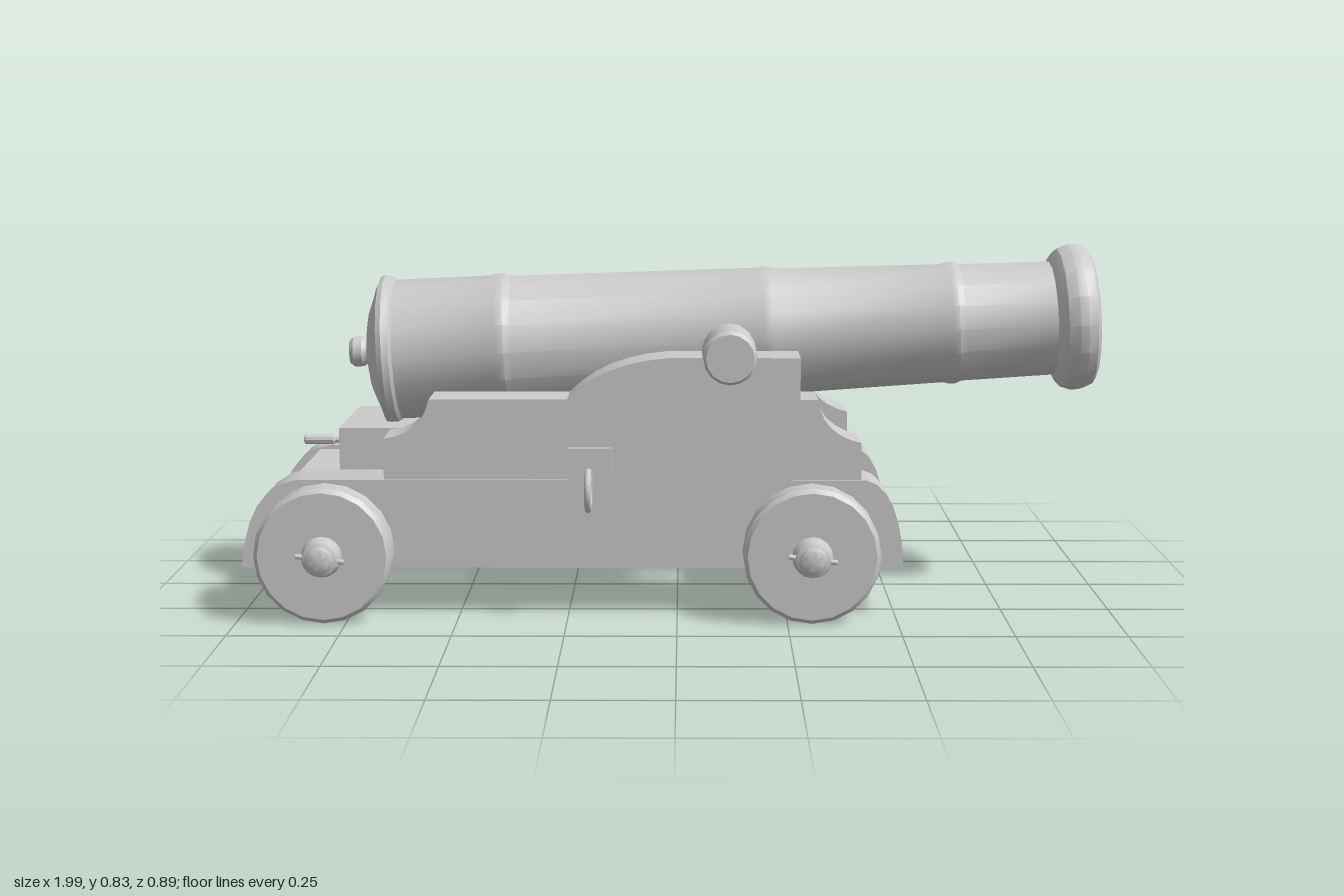
import * as THREE from 'three';
import { toCreasedNormals } from 'three/addons/utils/BufferGeometryUtils.js';

const material = new THREE.MeshStandardMaterial({ color: 0xcccccc });

function add(parent, name, geometry, x = 0, y = 0, z = 0) {
  const mesh = new THREE.Mesh(geometry, material);
  mesh.name = name;
  mesh.position.set(x, y, z);
  parent.add(mesh);
  return mesh;
}

// Turned part from [radius, height] pairs, with sharp profile edges
function turned(profile, sides) {
  const points = profile.map(([r, h]) => new THREE.Vector2(r, h));
  return toCreasedNormals(new THREE.LatheGeometry(points, sides), 0.5);
}

// Flat board cut from an outline in the x-y plane
function board(shape, depth) {
  return toCreasedNormals(
    new THREE.ExtrudeGeometry(shape, { depth, bevelEnabled: false, curveSegments: 6 }), 0.5);
}

function box(parent, name, x0, x1, y0, y1, width) {
  add(parent, name, new THREE.BoxGeometry(x1 - x0, y1 - y0, width), (x0 + x1) / 2, (y0 + y1) / 2, 0);
}

function lowerCheekShape() {
  const s = new THREE.Shape();
  s.moveTo(-1, 0.11);
  s.lineTo(0.52, 0.11);
  s.quadraticCurveTo(0.51, 0.3, 0.43, 0.315);
  s.lineTo(-0.87, 0.315);
  s.bezierCurveTo(-0.95, 0.305, -0.99, 0.23, -1, 0.11);
  return s;
}

function upperCheekShape() {
  const s = new THREE.Shape();
  s.moveTo(-0.67, 0.315);
  s.lineTo(0.42, 0.315);
  s.lineTo(0.42, 0.4);
  s.quadraticCurveTo(0.33, 0.42, 0.32, 0.5);
  s.lineTo(0.28, 0.5);
  s.lineTo(0.28, 0.595);
  s.lineTo(-0.02, 0.595);
  s.quadraticCurveTo(-0.17, 0.585, -0.25, 0.5);
  s.lineTo(-0.565, 0.5);
  s.quadraticCurveTo(-0.58, 0.42, -0.67, 0.41);
  s.closePath();
  return s;
}

function createBarrel() {
  const barrel = new THREE.Group();
  barrel.name = 'barrel';
  const profile = [
    // knob and breech face
    [0, -0.785], [0.028, -0.785], [0.036, -0.775], [0.036, -0.755], [0.03, -0.745], [0.03, -0.738],
    [0.06, -0.738], [0.1, -0.73], [0.145, -0.712], [0.165, -0.705],
    // breech ring
    [0.176, -0.7], [0.181, -0.688], [0.177, -0.672], [0.168, -0.665],
    // tapered tube with raised bands
    [0.167, -0.44], [0.171, -0.425], [0.171, -0.405], [0.164, -0.39],
    [0.155, 0.19], [0.157, 0.205], [0.156, 0.225], [0.151, 0.24],
    [0.142, 0.63], [0.146, 0.645], [0.146, 0.66], [0.14, 0.675], [0.136, 0.89],
    // muzzle swell
    [0.15, 0.896], [0.166, 0.91], [0.175, 0.935], [0.174, 0.955], [0.164, 0.978], [0.15, 0.987],
    // bore
    [0.134, 0.985], [0.128, 0.97], [0.115, 0.18], [0, 0.18],
  ];
  add(barrel, 'barrelTube', turned(profile, 16)).rotation.z = -Math.PI / 2;
  barrel.rotation.z = 0.049;
  barrel.position.y = 0.609;
  return barrel;
}

// Wheel with hub and linchpin; side is +1 or -1
function createWheel(x, side) {
  const wheel = new THREE.Group();
  wheel.name = 'wheelAssembly';
  const turn = side * Math.PI / 2;
  const rim = turned([[0, 0.318], [0.146, 0.318], [0.156, 0.328], [0.156, 0.388], [0.146, 0.398], [0, 0.398]], 20);
  const hub = turned([[0.047, 0.395], [0.045, 0.41], [0.039, 0.432], [0.03, 0.436], [0.028, 0.442], [0.02, 0.446], [0, 0.446]], 16);
  add(wheel, 'wheel', rim).rotation.x = turn;
  add(wheel, 'hub', hub).rotation.x = turn;
  const pin = add(wheel, 'linchpin', new THREE.CylinderGeometry(0.006, 0.006, 0.11, 8), 0, 0, side * 0.422);
  pin.rotation.z = Math.PI / 2 - 0.12;
  wheel.position.set(x, 0.157, 0);
  return wheel;
}

// Plate, stud and hanging ring on the outside of a cheek
function createRingBolt(side) {
  const bolt = new THREE.Group();
  bolt.name = 'ringBolt';
  add(bolt, 'ringPlate', new THREE.BoxGeometry(0.1, 0.14, 0.014), 0, 0.32, side * 0.302);
  add(bolt, 'ringStud', new THREE.CylinderGeometry(0.008, 0.008, 0.06, 8), 0, 0.32, side * 0.328)
    .rotation.x = Math.PI / 2;
  add(bolt, 'ring', new THREE.TorusGeometry(0.043, 0.008, 8, 20), 0, 0.303, side * 0.364)
    .rotation.y = Math.PI / 2;
  bolt.position.x = -0.2;
  return bolt;
}

export function createModel() {
  const model = new THREE.Group();
  model.name = 'navalCannon';
  model.add(createBarrel());

  const lower = board(lowerCheekShape(), 0.135);
  const upper = board(upperCheekShape(), 0.128);
  const trunnion = turned([[0, 0.1], [0.063, 0.1], [0.063, 0.294], [0.055, 0.303], [0, 0.303]], 16);
  const axles = [-0.8, 0.305];

  // Cheeks, trunnions, ring bolts and wheels on both sides
  for (const side of [1, -1]) {
    add(model, 'lowerCheek', lower, 0, 0, side > 0 ? 0.165 : -0.3);
    add(model, 'upperCheek', upper, 0, 0, side > 0 ? 0.168 : -0.296);
    add(model, 'trunnion', trunnion, 0.12, 0.594, 0).rotation.x = side * Math.PI / 2;
    model.add(createRingBolt(side));
    for (const x of axles) model.add(createWheel(x, side));
  }

  // Axles
  for (const x of axles) {
    add(model, 'axle', new THREE.CylinderGeometry(0.027, 0.027, 0.8, 12), x, 0.157, 0).rotation.x = Math.PI / 2;
  }

  // Beams joining the cheeks
  box(model, 'rearAxleBeam', -0.89, -0.71, 0.118, 0.305, 0.336);
  box(model, 'breechBed', -0.79, -0.55, 0.305, 0.413, 0.338);
  box(model, 'frontAxleBeam', 0.21, 0.4, 0.118, 0.225, 0.336);
  box(model, 'frontTransom', 0.25, 0.37, 0.225, 0.34, 0.338);

  // Rear tackle bolt
  const rod = turned([[0, -0.9], [0.009, -0.9], [0.012, -0.895], [0.012, -0.83], [0.008, -0.825], [0.008, -0.76]], 10);
  add(model, 'rearBolt', rod, 0, 0.358, 0).rotation.z = -Math.PI / 2;

  return model;
}
